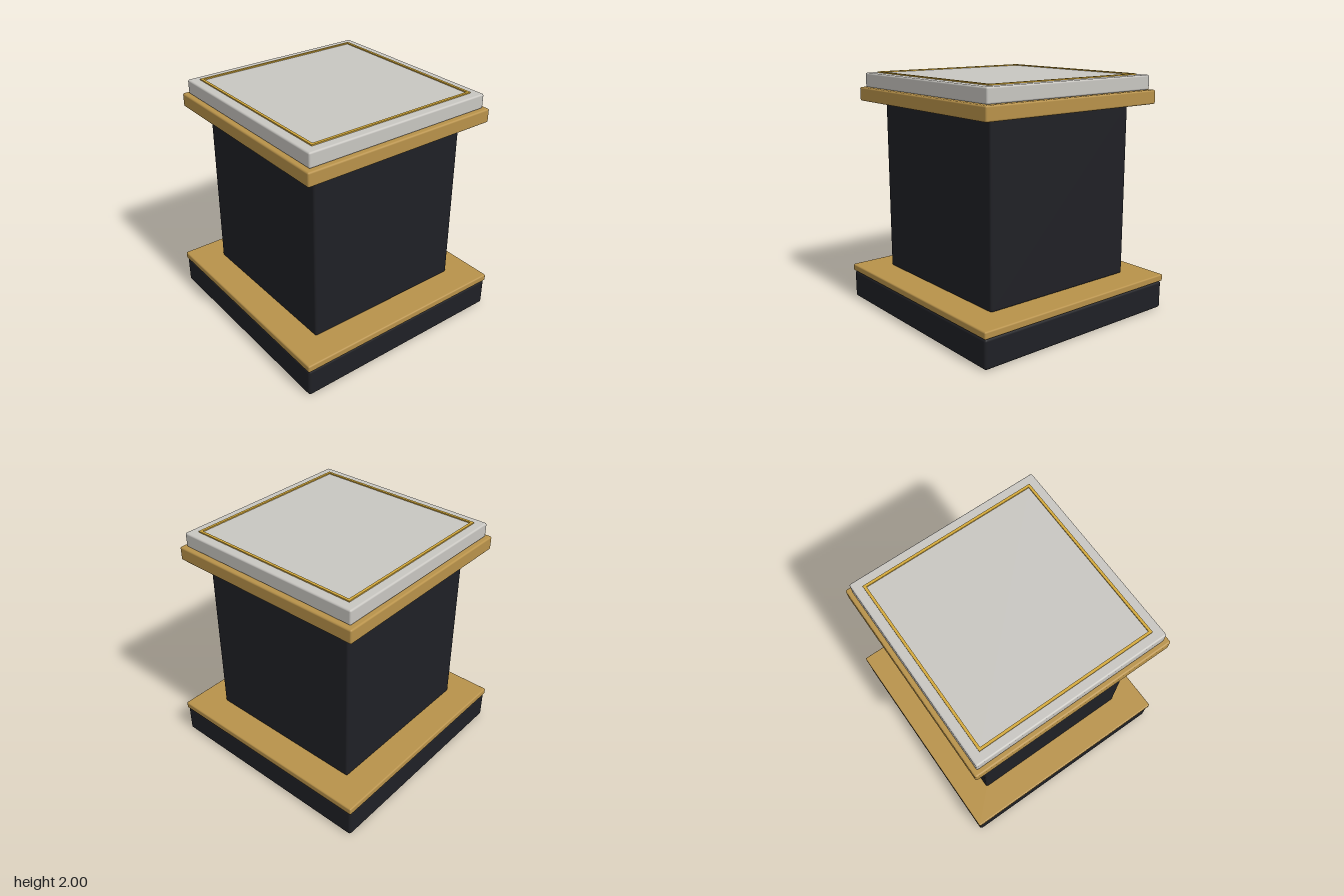
import * as THREE from 'three';
import { RoundedBoxGeometry } from 'three/addons/geometries/RoundedBoxGeometry.js';

const material = (color) => new THREE.MeshStandardMaterial({ color });

// Square slab with softened edges, given its half width and its bottom and top heights
function slab(name, half, bottom, top, radius, mat) {
  const geometry = new RoundedBoxGeometry(half * 2, top - bottom, half * 2, 2, radius);
  const mesh = new THREE.Mesh(geometry, mat);
  mesh.name = name;
  mesh.position.y = (bottom + top) / 2;
  return mesh;
}

// Thin square frame lying flat
function frame(name, outer, inner, bottom, top, mat) {
  const square = (path, h) => path.moveTo(-h, -h).lineTo(h, -h).lineTo(h, h).lineTo(-h, h).closePath();
  const shape = square(new THREE.Shape(), outer);
  shape.holes.push(square(new THREE.Path(), inner));
  const geometry = new THREE.ExtrudeGeometry(shape, { depth: top - bottom, bevelEnabled: false });
  geometry.rotateX(-Math.PI / 2);
  const mesh = new THREE.Mesh(geometry, mat);
  mesh.name = name;
  mesh.position.y = bottom;
  return mesh;
}

export function createModel() {
  const dark = material(0x1f2025);
  const bronze = material(0xb8924a);
  const stone = material(0xc8c6c1);
  const gold = material(0xd4a93a);

  const pedestal = new THREE.Group();
  pedestal.name = 'pedestal';
  pedestal.add(
    slab('plinth', 0.953, 0, 0.24, 0.022, dark),
    slab('plinthTrim', 0.96, 0.24, 0.3, 0.012, bronze),
    slab('column', 0.713, 0.3, 1.755, 0.018, dark),
    slab('capTrim', 0.87, 1.755, 1.87, 0.014, bronze),
    slab('topSlab', 0.832, 1.87, 1.99, 0.014, stone),
    frame('topInlay', 0.757, 0.735, 1.985, 2, gold),
  );
  return pedestal;
}
